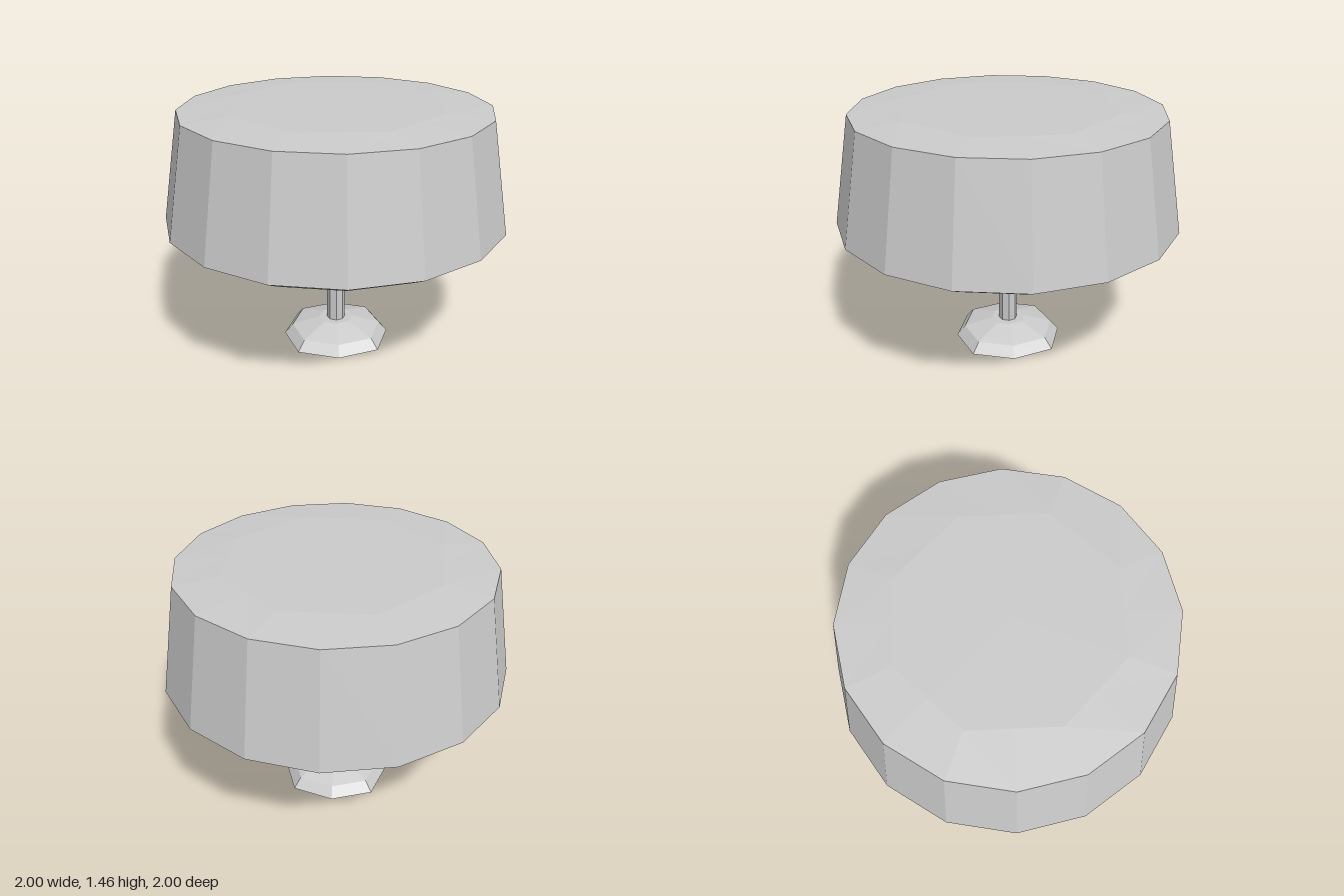
import * as THREE from 'three';

const material = new THREE.MeshStandardMaterial({ color: 0xcccccc, flatShading: true });

// Faceted solid turned about y; profile runs from the underside up to the top
function turned(name, profile, sides) {
  const points = profile.map(([r, y]) => new THREE.Vector2(r, y));
  const mesh = new THREE.Mesh(new THREE.LatheGeometry(points, sides), material);
  mesh.name = name;
  return mesh;
}

// Scale the horizontal radius of each vertex by rule(angle step, y)
function reshape(mesh, sides, rule) {
  const p = mesh.geometry.attributes.position;
  for (let i = 0; i < p.count; i++) {
    const x = p.getX(i), z = p.getZ(i), y = p.getY(i);
    const step = Math.round(Math.atan2(x, z) / (2 * Math.PI / sides));
    const k = rule(Math.abs(step), y);
    p.setXYZ(i, x * k, y, z * k);
  }
  mesh.geometry.computeVertexNormals();
}

export function createModel() {
  const lamp = new THREE.Group();
  lamp.name = 'tableLamp';

  // Eight-sided domed foot, slightly wider on the diagonals
  const base = turned('base', [[0, 0], [0.32, 0], [0.27, 0.06], [0.22, 0.075], [0.1, 0.11], [0, 0.11]], 8);
  reshape(base, 8, (step) => (step % 2 ? 1.06 : 1));

  // Slim post running up into the shade
  const post = turned('post', [[0, 0.1], [0.055, 0.1], [0.055, 0.87], [0, 0.87]], 8);

  // Sixteen-sided shade with hollowed underside and a shallow raised top
  const shade = turned('shade', [
    [0, 0.86], [0.63, 0.86], [0.89, 0.74], [1, 0.8],
    [0.895, 1.44], [0.64, 1.46], [0, 1.46],
  ], 16);
  // The flat centres above and below are octagons
  reshape(shade, 16, (step, y) =>
    ((y > 1.45 || Math.abs(y - 0.86) < 0.01) && step % 2 === 0 ? Math.cos(Math.PI / 8) : 1));

  lamp.add(base, post, shade);
  return lamp;
}
